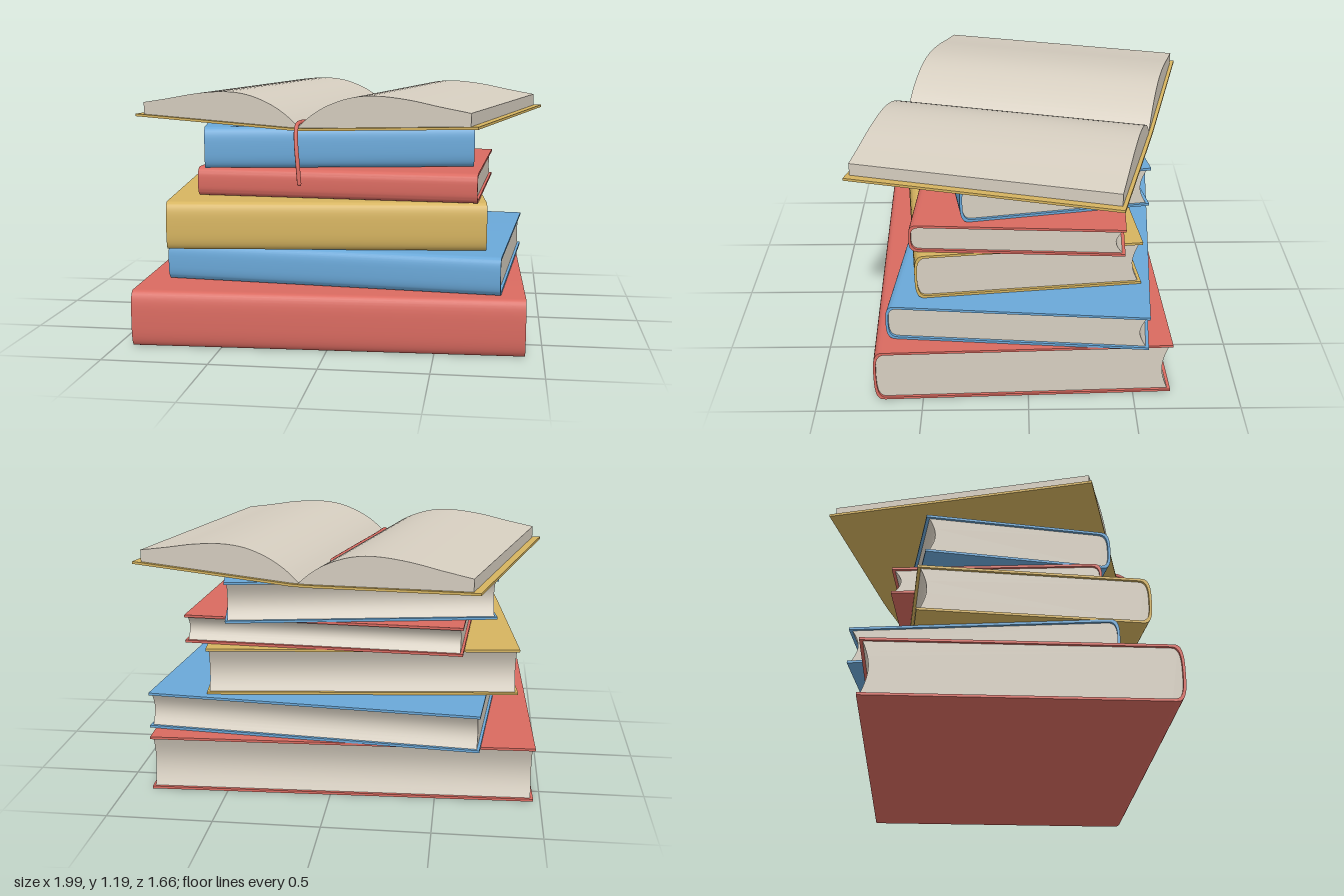
import * as THREE from 'three';
import { toCreasedNormals } from 'three/addons/utils/BufferGeometryUtils.js';

const mat = (name, color) => {
  const m = new THREE.MeshStandardMaterial({ color });
  m.name = name;
  return m;
};

const COVER = 0.012; // board thickness
const BULGE = 0.05;  // how far the spine rounds out

// Extrude a list of [u, v] points, centred along the extrusion axis
function prism(points, length) {
  const shape = new THREE.Shape(points.map(([x, y]) => new THREE.Vector2(x, y)));
  const geo = new THREE.ExtrudeGeometry(shape, { depth: length, bevelEnabled: false });
  geo.translate(0, 0, -length / 2);
  return toCreasedNormals(geo, 0.6);
}

function addMesh(parent, name, geo, material) {
  const mesh = new THREE.Mesh(geo, material);
  mesh.name = name;
  parent.add(mesh);
  return mesh;
}

// Rounded spine curve from bottom to top, inset by t
function spineCurve(d, h, t) {
  const pts = [];
  const n = 20;
  const half = h / 2 - t;
  for (let i = 0; i <= n; i++) {
    const a = -Math.PI / 2 + (Math.PI * i) / n;
    const c = Math.max(0, Math.cos(a)), s = Math.sin(a);
    pts.push([
      d / 2 - t - BULGE + BULGE * Math.pow(c, 0.65),
      h / 2 + half * Math.sign(s) * Math.pow(Math.abs(s), 0.65),
    ]);
  }
  return pts;
}

// Closed book: spine faces +z, hollow fore edge faces -z
function closedBook(name, w, h, d, coverMat, pageMat) {
  const book = new THREE.Group();
  book.name = name;
  const back = -d / 2;
  const outer = spineCurve(d, h, 0);
  const inner = spineCurve(d, h, COVER);

  const coverPts = [[back, 0], ...outer, [back, h], [back, h - COVER],
    ...inner.slice().reverse(), [back, COVER]];
  addMesh(book, 'cover', prism(coverPts, w).rotateY(-Math.PI / 2), coverMat);

  // Page block with a concave fore edge
  const edge = [];
  for (let i = 0; i <= 10; i++) {
    const k = i / 10;
    edge.push([back + 0.015 + 0.03 * Math.sin(Math.PI * k), h - COVER - k * (h - 2 * COVER)]);
  }
  addMesh(book, 'pages', prism([...inner, ...edge], w - 0.026).rotateY(-Math.PI / 2), pageMat);
  return book;
}

// Open book lying face up, with a shallow V cover
function openBook(coverMat, pageMat) {
  const book = new THREE.Group();
  book.name = 'openBook';
  const hw = 0.868, lift = 0.038, spine = 0.04;
  addMesh(book, 'openCover', prism([
    [-hw, lift], [-spine, 0], [spine, 0], [hw, lift],
    [hw, lift + COVER], [spine, COVER], [-spine, COVER], [-hw, lift + COVER],
  ], 1.278), coverMat);

  // Right page curve from gutter to outer edge
  const curve = new THREE.SplineCurve([
    [0, 0.016], [0.07, 0.075], [0.16, 0.125], [0.27, 0.16], [0.39, 0.17],
    [0.54, 0.157], [0.69, 0.13], [0.83, 0.107],
  ].map(([x, y]) => new THREE.Vector2(x, y)));
  const right = curve.getPoints(28).map((p) => [p.x, p.y]);
  const left = right.slice(1).map(([x, y]) => [-x, y]);
  addMesh(book, 'openPages', prism([
    [-0.83, lift + COVER - 0.002], [-spine, COVER], [spine, COVER], [0.83, lift + COVER - 0.002],
    ...right.reverse(), ...left,
  ], 1.243), pageMat);
  return book;
}

export function createModel() {
  const model = new THREE.Group();
  model.name = 'bookStack';
  const red = mat('red cloth', 0xd96a60);
  const blue = mat('blue cloth', 0x6aa8d8);
  const yellow = mat('yellow cloth', 0xd6b460);
  const paper = mat('paper', 0xd6cec0);

  // name, width, height, depth, x, z, turn, colour
  const books = [
    ['bottomRedBook', 1.84, 0.27, 1.41, -0.025, 0.055, 0.034, red],
    ['lowerBlueBook', 1.616, 0.18, 1.235, 0.047, -0.015, -0.086, blue],
    ['yellowBook', 1.51, 0.23, 1.08, -0.077, 0.073, 0.107, yellow],
    ['upperRedBook', 1.355, 0.14, 1.005, 0.035, 0.015, -0.055, red],
    ['upperBlueBook', 1.30, 0.20, 0.90, -0.055, -0.022, 0.17, blue],
  ];
  let y = 0;
  for (const [name, w, h, d, x, z, turn, colour] of books) {
    const book = closedBook(name, w, h, d, colour, paper);
    book.position.set(x, y, z);
    book.rotation.y = turn;
    model.add(book);
    y += h;
  }

  const open = openBook(yellow, paper);
  open.position.y = y;
  open.rotation.y = -0.244;
  model.add(open);

  // Ribbon bookmark along the gutter and over the front edge
  const path = new THREE.CatmullRomCurve3([
    [0.045, 1.054, -0.2], [-0.05, 1.052, 0.2], [-0.12, 1.052, 0.48], [-0.148, 1.054, 0.6],
    [-0.15, 1.035, 0.652], [-0.146, 0.97, 0.682], [-0.136, 0.88, 0.702], [-0.127, 0.785, 0.712],
  ].map((p) => new THREE.Vector3(...p)));
  const ribbon = addMesh(model, 'ribbon', new THREE.TubeGeometry(path, 48, 0.01, 8), red);

  // Closed ends of the ribbon
  for (const t of [0, 1]) {
    const cap = addMesh(model, 'ribbonEnd', new THREE.SphereGeometry(0.01, 8, 6), red);
    cap.position.copy(path.getPoint(t));
  }
  return model;
}
